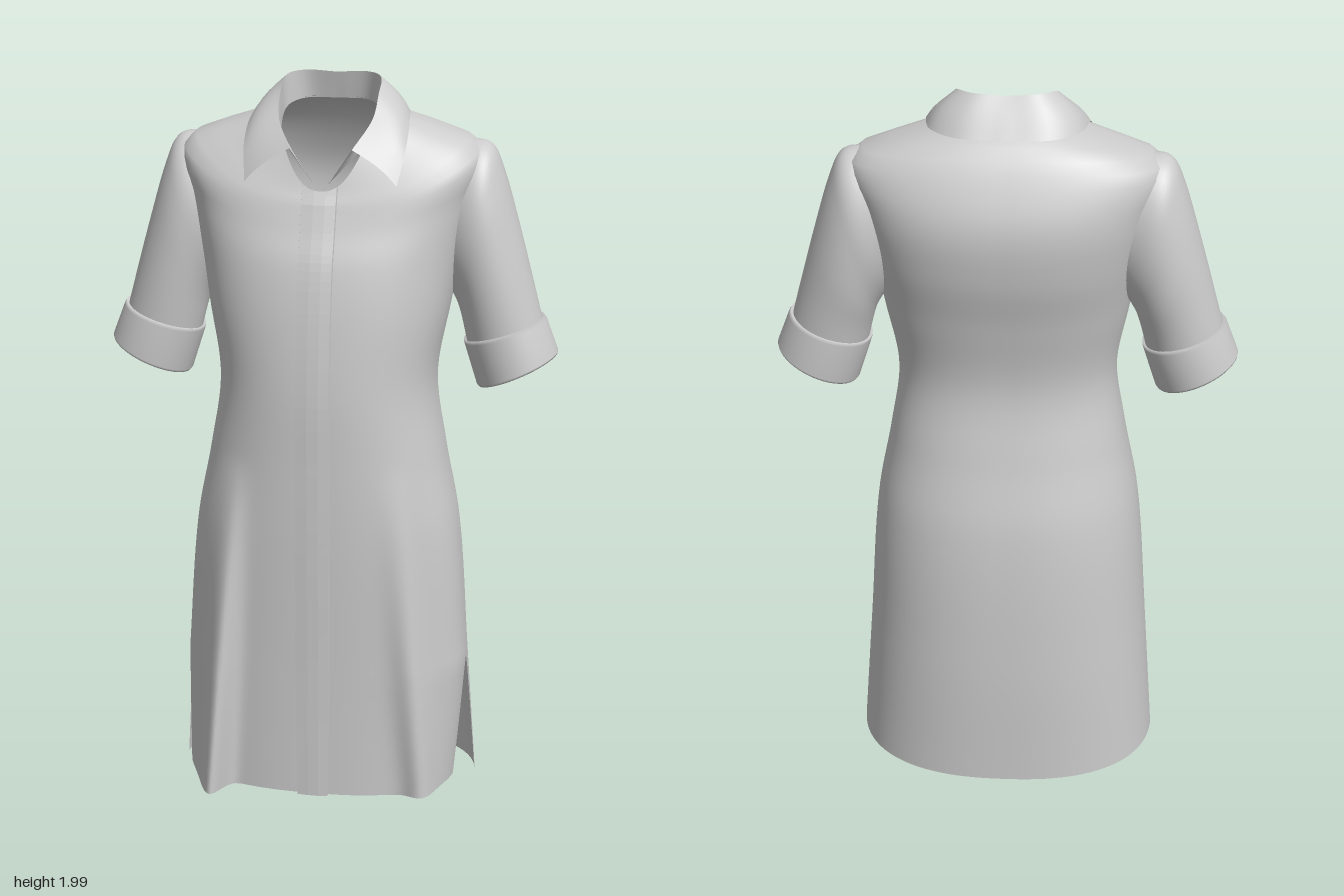
import * as THREE from 'three';
import { mergeGeometries, mergeVertices } from 'three/addons/utils/BufferGeometryUtils.js';

const cloth = new THREE.MeshStandardMaterial({ color: 0xcccccc, side: THREE.DoubleSide });
const lerp = THREE.MathUtils.lerp;

// Surface grid from a rule point(u, v), u and v running 0..1
function grid(nu, nv, point) {
  const pos = [], idx = [];
  for (let j = 0; j <= nv; j++)
    for (let i = 0; i <= nu; i++) pos.push(...point(i / nu, j / nv));
  for (let j = 0; j < nv; j++)
    for (let i = 0; i < nu; i++) {
      const a = j * (nu + 1) + i, c = a + nu + 1;
      idx.push(a, a + 1, c + 1, a, c + 1, c);
    }
  const g = new THREE.BufferGeometry();
  g.setAttribute('position', new THREE.Float32BufferAttribute(pos, 3));
  g.setIndex(idx);
  return g;
}

function smooth(g) {
  const welded = mergeVertices(g, 1e-4);
  welded.computeVertexNormals();
  return welded;
}

function mesh(name, geometry) {
  const m = new THREE.Mesh(geometry, cloth);
  m.name = name;
  return m;
}

// Smooth interpolation through rows of [key, values...]
function spline(rows) {
  const n = rows[0].length - 1;
  const it = new THREE.CubicInterpolant(rows.map(r => r[0]), rows.flatMap(r => r.slice(1)), n, new Float32Array(n));
  return t => Array.from(it.evaluate(t));
}

// Body rings: side height, front height, back height, half width, front z, back z, side z
const bodyRing = spline([
  [0.00, 0.00, 0.00, 0.420, 0.250, -0.300, 0.020],
  [0.40, 0.40, 0.40, 0.390, 0.252, -0.306, 0.020],
  [0.80, 0.80, 0.80, 0.358, 0.258, -0.285, 0.010],
  [1.00, 1.00, 1.00, 0.320, 0.257, -0.243, 0.000],
  [1.20, 1.20, 1.20, 0.293, 0.253, -0.212, -0.010],
  [1.40, 1.40, 1.40, 0.325, 0.232, -0.245, -0.030],
  [1.55, 1.53, 1.55, 0.350, 0.205, -0.282, -0.050],
  [1.70, 1.62, 1.70, 0.382, 0.170, -0.290, -0.065],
  [1.79, 1.67, 1.80, 0.405, 0.152, -0.256, -0.075],
  [1.83, 1.69, 1.85, 0.385, 0.145, -0.230, -0.075],
  [1.86, 1.70, 1.88, 0.310, 0.140, -0.208, -0.070],
  [1.89, 1.71, 1.905, 0.220, 0.135, -0.176, -0.060],
  [1.92, 1.72, 1.925, 0.135, 0.130, -0.135, -0.040],
]);
const POWER = 2.4, SLIT = 0.4, NECK = 1.92;

// Hanging fold in the front skirt: steep towards the middle, softer towards the side
function fold(x, centre, height, inner, outer) {
  const d = Math.abs(x) - centre;
  return height * Math.exp(-((d / (d < 0 ? inner : outer)) ** 2));
}

// Point on the body at ring s and angle a (0 = left side, PI / 2 = front)
function bodyPoint(s, a) {
  const [yF, yB, w, zF, zB, zS] = bodyRing(s);
  const c = Math.cos(a), n = Math.sin(a), front = n > 0;
  let x = w * Math.sign(c) * Math.abs(c) ** (2 / POWER);
  let z = zS + Math.abs(n) ** (2 / POWER) * ((front ? zF : zB) - zS);
  const y = s + ((front ? yF : yB) - s) * n * n;
  if (front && s < 1) {
    const k = 1 - s, drop = Math.max(0, (SLIT - s) / SLIT);
    x *= 1 - (x > 0 ? 0.14 : 0.07) * drop;
    const edge = Math.min(1, n / 0.3);
    z += edge * k * (x < 0 ? fold(x, 0.22 + 0.07 * k, 0.115, 0.036, 0.055)
      : fold(x, 0.22 + 0.09 * k, 0.06, 0.05, 0.03));
  }
  return [x, y, z];
}

// Half of the body; below the slit its side edges draw apart
function bodyPanel(front) {
  const low = 10, rows = 66, hem = front ? 0.052 : 0.022;
  return grid(96, rows, (u, v) => {
    const j = Math.round(v * rows);
    const s = j < low ? lerp(hem, SLIT, j / low) : lerp(SLIT, NECK, (j - low) / (rows - low));
    const gap = j < low ? (front ? 0.11 : 0.075) * (1 - j / low) ** 0.7 : 0;
    const a = lerp(Math.PI - gap, gap, u);
    const p = bodyPoint(s, front ? a : a - Math.PI);
    if (!front && j < low) p[1] -= 0.014 * Math.sin(a) * (1 - j / low);
    return p;
  });
}

// Raised button strip following the front
function placket() {
  const section = [[-0.05, -0.002], [-0.048, 0.009], [-0.015, 0.011], [0.015, 0.011], [0.043, 0.009], [0.045, -0.002]];
  return grid(section.length - 1, 60, (u, v) => {
    const [x, lift] = section[Math.round(u * (section.length - 1))];
    const s = lerp(0.05, NECK, v), w = bodyRing(s)[2];
    const c = Math.sign(x) * Math.min(1, Math.abs(x) / w) ** (POWER / 2);
    const p = bodyPoint(s, Math.acos(c));
    return [p[0], p[1], p[2] + lift];
  });
}

// Tube through slanted rings: key, outer x, outer y, inner x, inner y, z radius, z centre
function sleeveTube(rows, steps, curved) {
  const at = spline(rows), last = rows.length - 1;
  return smooth(grid(48, curved ? steps : last, (u, v) => {
    const [ox, oy, ix, iy, r, zc] = curved ? at(v * last) : rows[Math.round(v * last)].slice(1);
    const a = u * Math.PI * 2, t = (1 + Math.cos(a)) / 2;
    return [lerp(ix, ox, t), lerp(iy, oy, t), zc + r * Math.sin(a)];
  }));
}

function sleeve(name) {
  const g = new THREE.Group();
  g.name = name;
  g.add(mesh('sleeve', sleeveTube([
    [0, 0.350, 1.835, 0.270, 1.500, 0.105, -0.080],
    [1, 0.420, 1.822, 0.305, 1.450, 0.125, -0.078],
    [2, 0.457, 1.750, 0.333, 1.405, 0.129, -0.075],
    [3, 0.502, 1.600, 0.347, 1.370, 0.126, -0.072],
    [4, 0.543, 1.450, 0.360, 1.320, 0.117, -0.066],
    [5, 0.575, 1.330, 0.378, 1.240, 0.108, -0.062],
  ], 30, true)));
  // Turned-up cuff with a folded lip
  g.add(mesh('cuff', sleeveTube([
    [0, 0.557, 1.350, 0.372, 1.290, 0.103, -0.063],
    [1, 0.573, 1.364, 0.359, 1.294, 0.115, -0.063],
    [2, 0.580, 1.355, 0.360, 1.284, 0.119, -0.063],
    [3, 0.613, 1.268, 0.396, 1.172, 0.120, -0.060],
    [4, 0.612, 1.262, 0.401, 1.166, 0.117, -0.060],
    [5, 0.603, 1.264, 0.408, 1.174, 0.110, -0.060],
    [6, 0.572, 1.340, 0.377, 1.250, 0.106, -0.062],
  ])));
  return g;
}

// Collar lines from the middle of the back to the left front
const curve = pts => new THREE.CatmullRomCurve3(pts.map(p => new THREE.Vector3(...p)));
const collarBase = curve([[0, 1.92, -0.135], [0.08, 1.92, -0.125], [0.12, 1.91, -0.07], [0.126, 1.88, 0], [0.11, 1.84, 0.06], [0.02, 1.74, 0.132]]);
const collarFold = curve([[0, 1.992, -0.118], [0.085, 1.996, -0.112], [0.125, 1.99, -0.07], [0.13, 1.955, 0], [0.124, 1.9, 0.06], [0.082, 1.832, 0.135]]);
const collarEdge = curve([[0, 1.9, -0.188], [0.12, 1.9, -0.178], [0.19, 1.9, -0.12], [0.21, 1.892, -0.02], [0.214, 1.83, 0.075], [0.2, 1.742, 0.142]]);

function collarBand(from, to, bulge) {
  return smooth(grid(64, 6, (u, v) => {
    const k = u * 2 - 1, t = Math.abs(k);
    const p = from.getPoint(t).lerp(to.getPoint(t), v);
    const b = bulge * Math.sin(Math.PI * v);
    return [Math.sign(k) * p.x * (1 + b), p.y + b * 0.1, p.z];
  }));
}

export function createModel() {
  const dress = new THREE.Group();
  dress.name = 'shirtDress';
  dress.add(mesh('body', smooth(mergeGeometries([bodyPanel(true), bodyPanel(false)]))));

  const strip = placket().toNonIndexed();
  strip.computeVertexNormals();
  dress.add(mesh('buttonPlacket', strip));

  const right = sleeve('rightSleeve');
  right.scale.x = -1;
  dress.add(sleeve('leftSleeve'), right);

  const collar = new THREE.Group();
  collar.name = 'collar';
  collar.add(mesh('collarStand', collarBand(collarBase, collarFold, 0)));
  collar.add(mesh('collarFall', collarBand(collarFold, collarEdge, 0.05)));
  dress.add(collar);
  return dress;
}
